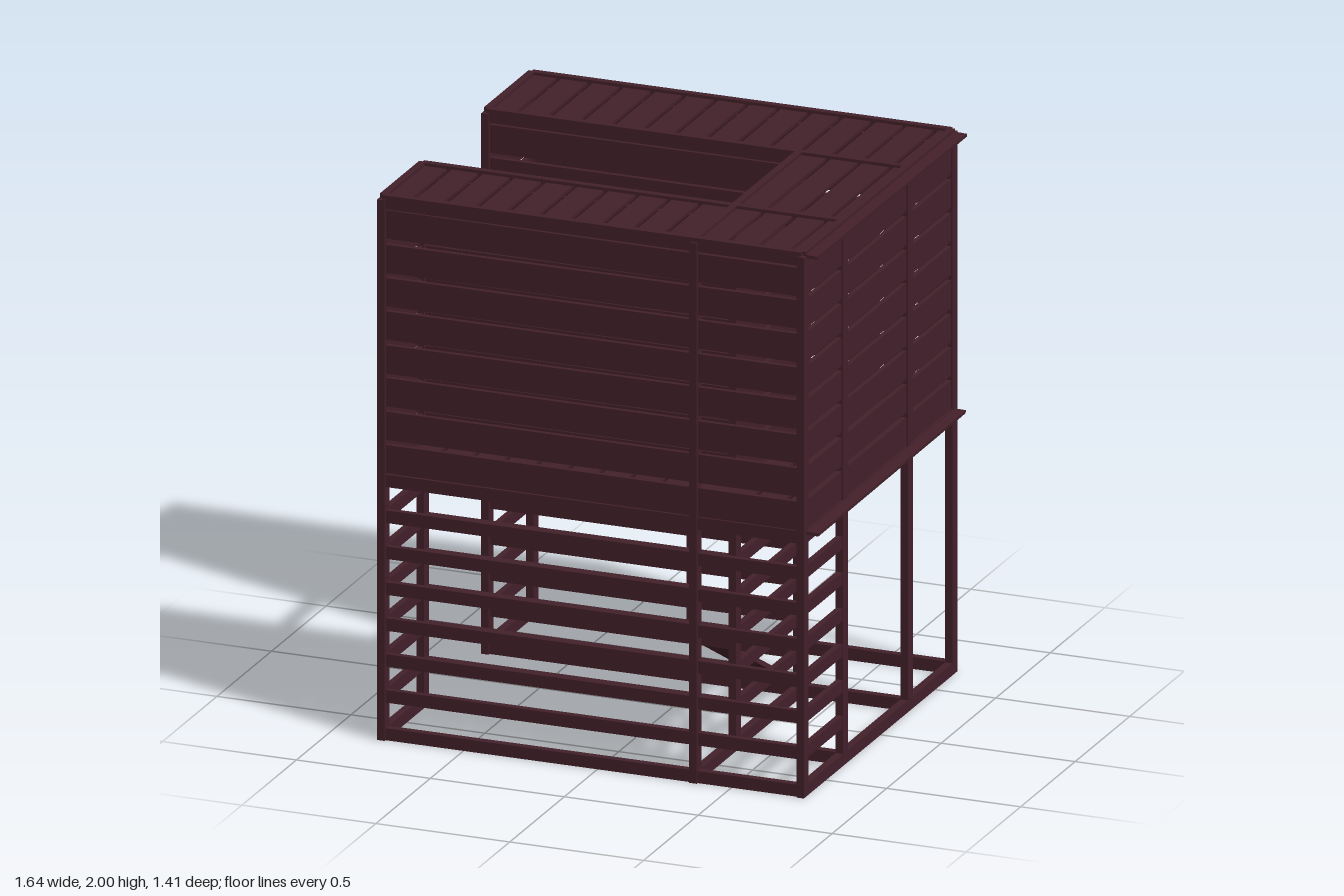
import * as THREE from 'three';

export function createModel() {
  const model = new THREE.Group();
  model.name = 'slattedTimberBuilding';
  const wood = new THREE.MeshStandardMaterial({ color: 0x43202a, flatShading: true });

  // Seeded wobble for hand-nailed boards
  let seed = 7;
  const wobble = (amount) => {
    seed = (seed * 16807) % 2147483647;
    return (seed / 2147483647 - 0.5) * 2 * amount;
  };

  const groups = {};
  const group = (name) => {
    if (!groups[name]) {
      groups[name] = new THREE.Group();
      groups[name].name = name;
      model.add(groups[name]);
    }
    return groups[name];
  };
  const box = (set, name, w, h, d, x, y, z) => {
    const mesh = new THREE.Mesh(new THREE.BoxGeometry(w, h, d), wood);
    mesh.position.set(x, y, z);
    mesh.name = name;
    group(set).add(mesh);
    return mesh;
  };
  // Horizontal timber between two plan points [x, z]
  const bar = (set, name, a, b, y, height, thick, tilt = 0) => {
    const dx = b[0] - a[0], dz = b[1] - a[1];
    const mesh = box(set, name, Math.hypot(dx, dz), height, thick,
      (a[0] + b[0]) / 2, y, (a[1] + b[1]) / 2);
    mesh.rotation.set(0, Math.atan2(-dz, dx), wobble(tilt));
    return mesh;
  };

  // Plan grid lines of the U shape, open towards -x
  const XL = -0.805, XI = 0.36, XR = 0.76;
  const ZF = 0.682, ZA = 0.322, ZB = -0.272, ZK = -0.682;
  const XD = -0.205;
  const SILL = 0.022, MID = 0.953, TOP = 1.975;

  // Posts
  const post = (x, z, height, name) => box('posts', name, 0.028, height, 0.045, x, height / 2, z);
  for (const x of [XL, XR]) {
    for (const z of [ZF, ZA, ZB, ZK]) post(x, z, 1.985, 'outerPost');
  }
  for (const z of [ZF, ZA, ZB]) post(XI, z, 1.985, 'innerPost');
  post(XD, ZK, MID, 'doorPost');

  // Walls as [from, to]
  const front = [[XL, ZF], [XR, ZF]];
  const back = [[XL, ZK], [XR, ZK]];
  const side = [[XR, ZK], [XR, ZF]];
  const frontEnd = [[XL, ZA], [XL, ZF]];
  const backEnd = [[XL, ZK], [XL, ZB]];
  const yardFront = [[XL, ZA], [XI, ZA]];
  const yardBack = [[XL, ZB], [XI, ZB]];
  const yardSide = [[XI, ZB], [XI, ZA]];
  const upperWalls = [front, back, side, frontEnd, backEnd, yardFront, yardBack, yardSide];
  const lowerWalls = [front, frontEnd, backEnd, yardFront, yardBack, yardSide,
    [[XL, ZK], [XD, ZK]], [[XR, ZA], [XR, ZF]]];
  const ties = [[[XI, ZA], [XR, ZA]], [[XI, ZB], [XR, ZB]], [[XI, ZA], [XI, ZF]]];

  // Frame rails at ground, floor and roof level
  for (const [a, b] of [...upperWalls, ...ties]) {
    bar('frame', 'sill', a, b, SILL, 0.044, 0.028);
    bar('frame', 'floorRail', a, b, MID, 0.046, 0.028);
    bar('frame', 'roofRail', a, b, TOP, 0.05, 0.026);
  }
  bar('frame', 'diagonalSill', [XD, ZK], [XI, ZB], SILL, 0.044, 0.028);
  bar('frame', 'gateBeam', [XL, ZB], [XL, ZA], MID, 0.046, 0.028);

  // Wide boards of the upper storey
  for (const [a, b] of upperWalls) {
    for (let i = 0; i < 8; i++) {
      bar('upperBoards', 'wallBoard', a, b, 1.03 + i * 0.123, 0.104, 0.018, 0.003);
    }
  }

  // Narrow slats of the lower storey
  for (const [a, b] of lowerWalls) {
    for (let i = 0; i < 6; i++) {
      bar('lowerSlats', 'wallSlat', a, b, 0.16 + i * 0.132, 0.046, 0.022);
    }
  }

  // Floor and roof planks; the first four span the full depth
  for (const [set, y] of [['floorPlanks', 0.968], ['roofPlanks', 1.984]]) {
    for (let i = 0; i < 14; i++) {
      const x = 0.767 - i * 0.1174;
      const spans = i < 4 ? [[ZK, ZF]] : [[ZK, ZB], [ZA, ZF]];
      for (const [z0, z1] of spans) {
        const plank = box(set, 'plank', 0.099, 0.011, z1 - z0, x, y, (z0 + z1) / 2);
        plank.rotation.y = wobble(0.004);
        if (i === 0) plank.rotation.z = -0.04;
      }
    }
  }

  // Broken tapered boards hanging at the back doorway
  const brokenBoard = (x, top, bottom) => {
    const shape = new THREE.Shape([
      new THREE.Vector2(-0.026, top), new THREE.Vector2(-0.012, bottom),
      new THREE.Vector2(0.012, bottom + 0.012), new THREE.Vector2(0.026, top),
    ]);
    const mesh = new THREE.Mesh(
      new THREE.ExtrudeGeometry(shape, { depth: 0.016, bevelEnabled: false }), wood);
    mesh.position.set(x, 0, -0.708);
    mesh.name = 'brokenBoard';
    group('brokenBoards').add(mesh);
  };
  brokenBoard(0.088, 0.97, 0.7);
  brokenBoard(-0.042, 0.7, 0.43);

  return model;
}
